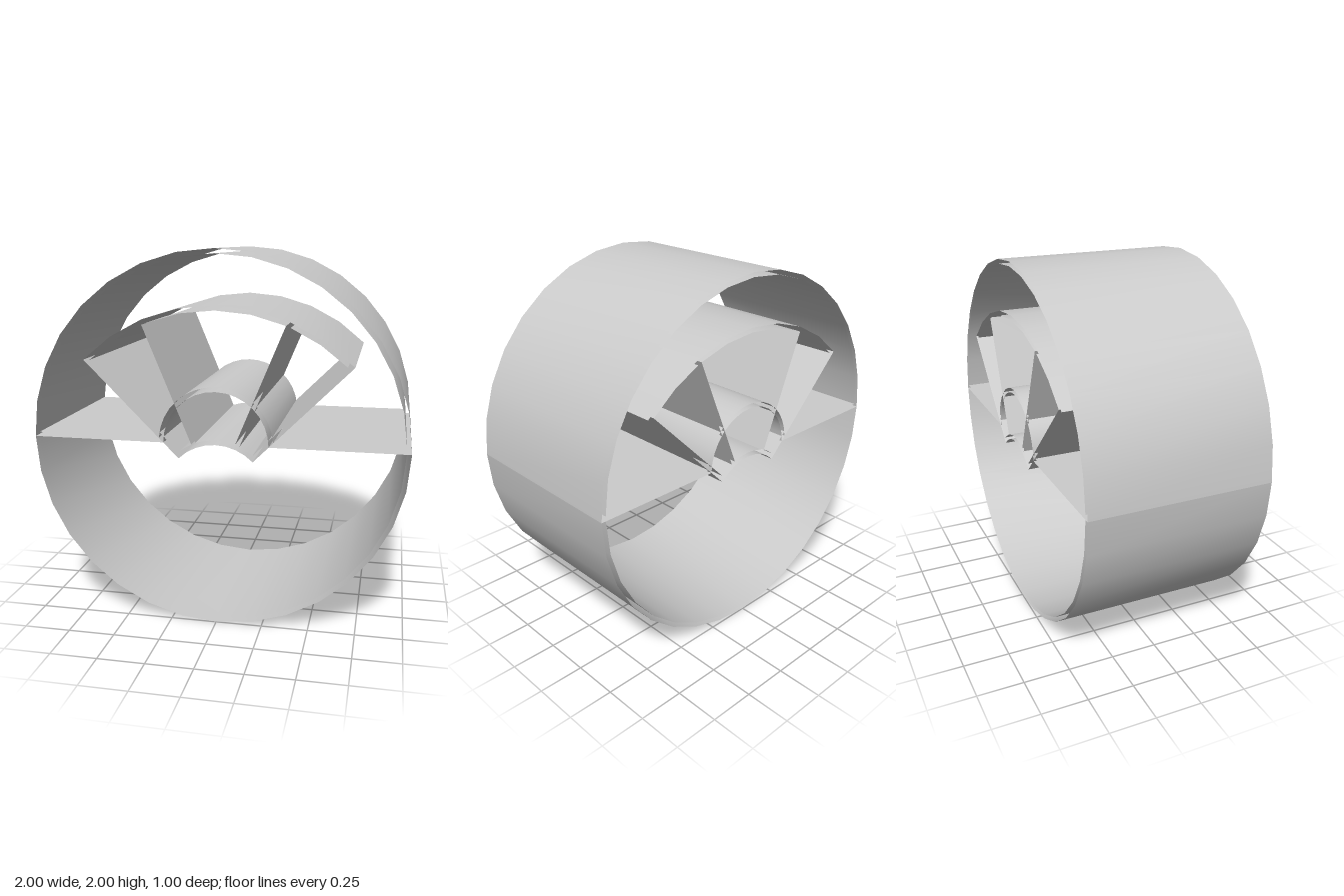
import * as THREE from 'three';
import { toCreasedNormals } from 'three/addons/utils/BufferGeometryUtils.js';

const T = 0.025; // wall thickness
const material = new THREE.MeshStandardMaterial({ color: 0xcccccc, side: THREE.DoubleSide });

// Points of an arc around (0, cy)
function arc(r, a0, a1, cy, step = Math.PI / 16) {
  const n = Math.max(2, Math.ceil(Math.abs(a1 - a0) / step - 1e-6));
  return Array.from({ length: n + 1 }, (_, i) => {
    const a = a0 + (a1 - a0) * i / n;
    return [r * Math.cos(a), cy + r * Math.sin(a)];
  });
}

// Closed outline of an annular sector whose straight sides are inset by d0 and d1
function sector(r0, r1, a0, a1, cy, d0 = 0, d1 = 0) {
  const pts = [
    ...arc(r1, a0 + Math.asin(d0 / r1), a1 - Math.asin(d1 / r1), cy),
    ...arc(r0, a1 - Math.asin(d1 / r0), a0 + Math.asin(d0 / r0), cy),
  ];
  return [...pts, pts[0]];
}

// Open-ended wall that follows an outline from back to front
function wall(name, points, depth) {
  const h = depth / 2, pos = [];
  for (let i = 0; i + 1 < points.length; i++) {
    const [ax, ay] = points[i], [bx, by] = points[i + 1];
    pos.push(ax, ay, h, ax, ay, -h, bx, by, -h, ax, ay, h, bx, by, -h, bx, by, h);
  }
  const g = new THREE.BufferGeometry();
  g.setAttribute('position', new THREE.Float32BufferAttribute(pos, 3));
  const mesh = new THREE.Mesh(toCreasedNormals(g, 0.5), material);
  mesh.name = name;
  return mesh;
}

export function createModel() {
  const model = new THREE.Group();
  model.name = 'drumWithFan';
  const PI = Math.PI, hub = 0.28;

  // Drum: upper half closed by horizontal plates and a hub arch, lower half open
  const drum = new THREE.Group();
  drum.name = 'drum';
  const cy = 1, drumDepth = 0.996;
  drum.add(
    wall('upperShellOutside', sector(hub, 1, 0, PI, cy), drumDepth),
    wall('upperShellInside', sector(hub + T, 1 - T, 0, PI, cy, T, T), drumDepth),
    wall('lowerShellOutside', arc(1, PI, 2 * PI, cy), drumDepth),
    wall('lowerShellInside', arc(1 - T, PI, 2 * PI, cy), drumDepth),
  );

  // Fan: quarter sector divided into three cells by two inner plates
  const fan = new THREE.Group();
  fan.name = 'fan';
  const apex = 0.72, depth = 1;
  fan.add(wall('fanShell', sector(hub, 1, PI / 4, 3 * PI / 4, apex), depth));
  const cells = [
    ['leftCell', 2, 3, T, T / 2],
    ['middleCell', 3, 5, T / 2, T / 2],
    ['rightCell', 5, 6, T / 2, T],
  ];
  for (const [name, a, b, d0, d1] of cells)
    fan.add(wall(name, sector(hub + T, 1 - T, a * PI / 8, b * PI / 8, apex, d0, d1), depth));

  model.add(drum, fan);
  return model;
}
